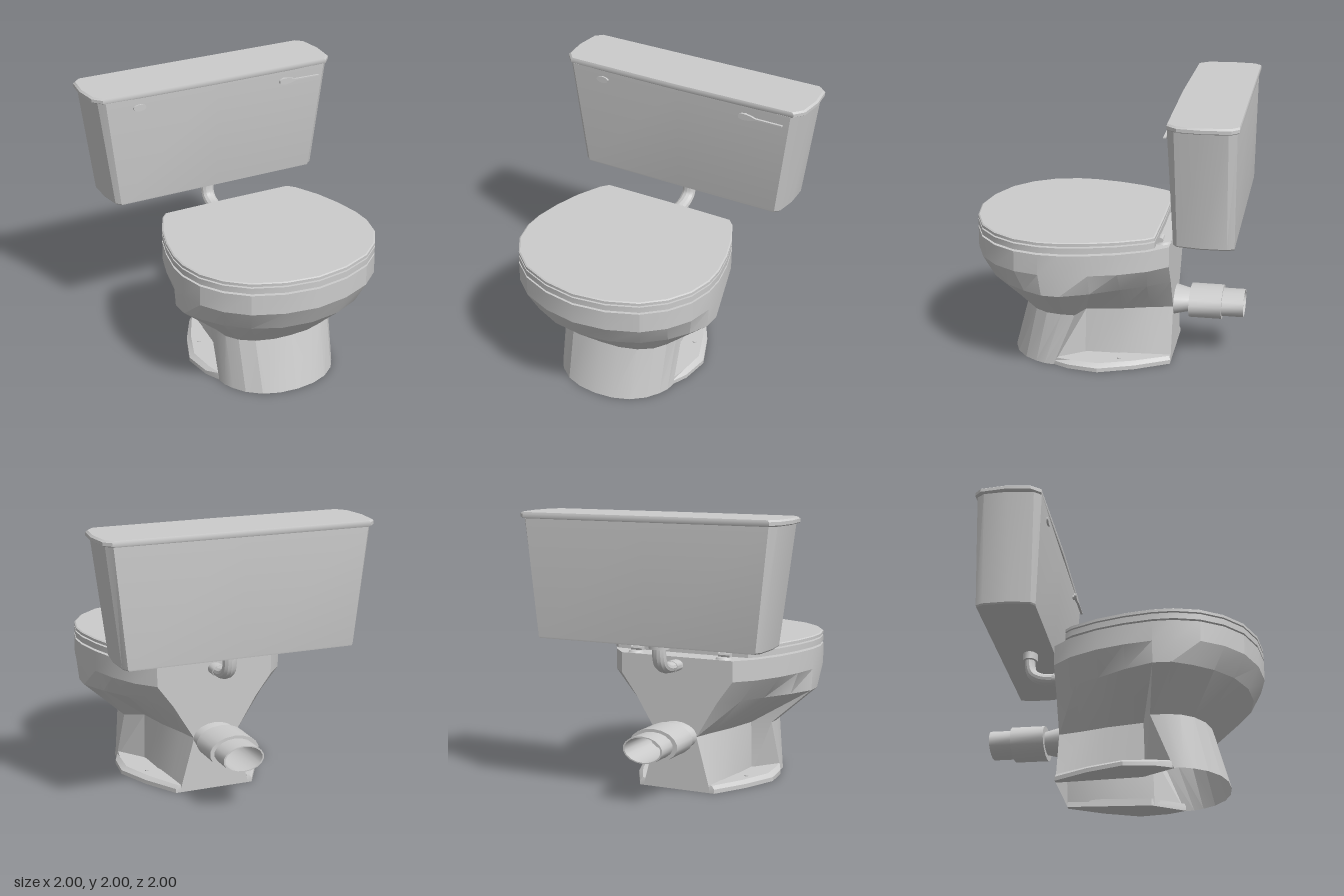
import * as THREE from 'three';
import { toCreasedNormals } from 'three/addons/utils/BufferGeometryUtils.js';

const material = new THREE.MeshStandardMaterial({ color: 0xcccccc, side: THREE.DoubleSide });

function add(parent, name, geometry, x = 0, y = 0, z = 0, crease = 0.45) {
  const mesh = new THREE.Mesh(toCreasedNormals(geometry, crease), material);
  mesh.name = name;
  mesh.position.set(x, y, z);
  parent.add(mesh);
  return mesh;
}

// Half outline [x, z] running front to back; the inner points are mirrored to -x
const mirror = (half) => [...half, ...half.slice(1, -1).reverse().map(([x, z]) => [-x, z])];

// Scale an outline about a centre on the z axis
const scaled = (loop, s, cz) => loop.map(([x, z]) => [x * s, cz + (z - cz) * s]);

// Skin through levels [y, outline], with optional end caps
function loft(levels, capStart = false, capEnd = false) {
  const n = levels[0][1].length, pos = [], idx = [];
  for (const [y, loop] of levels) for (const [x, z] of loop) pos.push(x, y, z);
  for (let l = 0; l < levels.length - 1; l++) {
    for (let i = 0; i < n; i++) {
      const a = l * n + i, b = l * n + (i + 1) % n;
      idx.push(a, b, b + n, a, b + n, a + n);
    }
  }
  const top = (levels.length - 1) * n;
  for (let i = 1; i < n - 1; i++) {
    if (capStart) idx.push(0, i + 1, i);
    if (capEnd) idx.push(top, top + i, top + i + 1);
  }
  const g = new THREE.BufferGeometry();
  g.setAttribute('position', new THREE.Float32BufferAttribute(pos, 3));
  g.setIndex(idx);
  return g;
}

const tube = (points, r) => new THREE.TubeGeometry(
  new THREE.CatmullRomCurve3(points.map((p) => new THREE.Vector3(...p))), 16, r, 12);

// Outlines of the bowl
const front = [[0, 0.995], [0.24, 0.96], [0.46, 0.87], [0.61, 0.74], [0.71, 0.58],
  [0.755, 0.4], [0.755, 0.25], [0.72, 0.05], [0.66, -0.15]];
const rim = mirror([...front, [0.56, -0.35], [0.44, -0.485], [0, -0.485]]);
const cover = mirror([...front, [0.57, -0.34], [0.52, -0.395], [0, -0.4]]);
const belly = mirror([[0, 0.91], [0.22, 0.88], [0.42, 0.79], [0.57, 0.66], [0.67, 0.52], [0.74, 0.38],
  [0.745, 0.25], [0.66, 0.05], [0.54, -0.15], [0.44, -0.33], [0.32, -0.485], [0, -0.485]]);
const neck = mirror([[0, 0.62], [0.14, 0.61], [0.27, 0.57], [0.37, 0.5], [0.43, 0.41], [0.45, 0.3],
  [0.45, 0.2], [0.31, 0.14], [0.26, -0.12], [0.2, -0.32], [0.16, -0.485], [0, -0.485]]);
const base = mirror([[0, 0.73], [0.14, 0.715], [0.26, 0.67], [0.36, 0.59], [0.42, 0.5], [0.45, 0.43],
  [0.46, 0.36], [0.31, 0.15], [0.3, -0.1], [0.28, -0.32], [0.27, -0.485], [0, -0.485]]);

function buildBowl(root) {
  // Hollow pedestal, outer bowl, rim and basin as one skin
  add(root, 'bowl', loft([
    [0, base], [0.4, neck], [0.66, belly], [0.82, rim], [0.97, rim],
    [0.97, scaled(rim, 0.7, 0.28)], [0.7, scaled(rim, 0.55, 0.28)], [0.45, scaled(rim, 0.3, 0.25)],
  ], false, true), 0, 0, 0, 0.3);
  add(root, 'trapway', tube([[0, 0.46, 0.25], [0, 0.25, 0.1], [0, 0.25, -0.1], [0, 0.4, -0.3], [0, 0.4, -0.48]], 0.1));

  // Floor flanges beside the pedestal, tapering to the back
  for (const s of [-1, 1]) {
    const low = [[0.45, 0.37], [0.51, 0.24], [0.54, 0.02], [0.44, -0.24], [0.3, -0.485], [0.26, -0.485], [0.3, 0.13]];
    const high = [[0.45, 0.36], [0.48, 0.23], [0.5, 0.02], [0.41, -0.23], [0.28, -0.48], [0.26, -0.48], [0.3, 0.13]];
    const side = (loop) => (s > 0 ? loop : loop.map(([x, z]) => [-x, z]).reverse());
    add(root, 'floorFlange', loft([[0, side(low)], [0.03, side(low)], [0.055, side(high)]], true, true));
    add(root, 'floorBolt', new THREE.CylinderGeometry(0.015, 0.015, 0.01, 8), s * 0.39, 0.057, -0.12);
  }
}

function buildSeat(root) {
  const outer = scaled(cover, 0.998, 0.3), hole = scaled(cover, 0.62, 0.3);
  add(root, 'seat', loft([[0.985, outer], [1.028, outer], [1.028, hole], [0.985, hole], [0.985, outer]]));
  add(root, 'lid', loft([[1.04, outer], [1.06, outer], [1.066, scaled(cover, 0.985, 0.3)]], true, true));
  for (const s of [-1, 1]) {
    // Rubber pads under the seat and the lid
    for (const y of [0.978, 1.034]) {
      add(root, 'pad', new THREE.BoxGeometry(0.12, 0.014, 0.09), s * 0.36, y, 0.67);
      add(root, 'pad', new THREE.BoxGeometry(0.12, 0.014, 0.09), s * 0.5, y, -0.12);
    }
    // Hinge with its round foot and pivot
    const hinge = new THREE.Group();
    hinge.name = 'hinge';
    hinge.position.set(s * 0.35, 0, -0.43);
    add(hinge, 'hingeFoot', new THREE.CylinderGeometry(0.05, 0.06, 0.015, 14), 0, 0.978, 0);
    add(hinge, 'hingePivot', new THREE.CylinderGeometry(0.022, 0.022, 0.09, 10), 0, 1.0, 0.015).rotation.z = Math.PI / 2;
    add(hinge, 'hingeArm', new THREE.BoxGeometry(0.045, 0.025, 0.08), 0, 1.0, 0.05);
    root.add(hinge);
  }
}

function buildTank(root) {
  const low = mirror([[0, -0.56], [0.8, -0.56], [0.835, -0.59], [0.86, -0.75], [0.855, -0.93], [0.83, -0.98], [0, -0.98]]);
  const high = mirror([[0, -0.52], [0.9, -0.52], [0.945, -0.57], [0.97, -0.76], [0.96, -0.93], [0.92, -0.985], [0, -0.985]]);
  const top = mirror([[0, -0.508], [0.92, -0.52], [0.98, -0.59], [1, -0.77], [0.98, -0.95], [0.93, -1], [0, -1]]);
  add(root, 'tank', loft([[1.12, scaled(low, 0.99, -0.77)], [1.13, low], [1.96, high]], true, true));
  add(root, 'tankLid', loft([[1.957, scaled(top, 0.985, -0.75)], [1.965, top], [1.988, top],
    [2, scaled(top, 0.985, -0.75)]], true, true));

  // Flush lever: teardrop boss running into a thin handle
  const drop = new THREE.Shape();
  drop.moveTo(0.505, 0);
  drop.bezierCurveTo(0.505, 0.035, 0.58, 0.028, 0.64, 0.006);
  drop.lineTo(0.85, 0.004);
  drop.lineTo(0.85, -0.004);
  drop.lineTo(0.64, -0.006);
  drop.bezierCurveTo(0.58, -0.028, 0.505, -0.035, 0.505, 0);
  add(root, 'flushLever', new THREE.ExtrudeGeometry(drop, { depth: 0.018, bevelEnabled: false, curveSegments: 8 }),
    0, 1.886, -0.508);
  add(root, 'leverPivot', new THREE.CylinderGeometry(0.02, 0.02, 0.04, 10), 0.55, 1.886, -0.515).rotation.x = Math.PI / 2;

  // Oval plate on the other side
  const plate = add(root, 'ovalPlate', new THREE.CylinderGeometry(0.05, 0.05, 0.02, 16), -0.64, 1.886, -0.52);
  plate.rotation.x = Math.PI / 2;
  plate.scale.z = 0.5;
}

function buildPipes(root) {
  // Flush pipe from the tank to the back of the bowl
  add(root, 'flushPipe', tube([[0, 1.12, -0.745], [0, 1.03, -0.745], [0, 0.96, -0.725], [0, 0.92, -0.66],
    [0, 0.91, -0.57], [0, 0.91, -0.48]], 0.04)).scale.x = 1.3;
  add(root, 'upperNut', new THREE.CylinderGeometry(0.057, 0.057, 0.06, 14), 0, 1.095, -0.745).scale.x = 1.35;
  const lowerNut = add(root, 'lowerNut', new THREE.CylinderGeometry(0.042, 0.042, 0.09, 14), 0, 0.91, -0.525);
  lowerNut.rotation.x = Math.PI / 2;
  lowerNut.scale.x = 1.35;

  // Waste outlet: tapered spigot, collar and open pipe, wider than tall
  const profile = [[0.105, 0.44], [0.102, 0.49], [0.078, 0.6], [0.117, 0.6], [0.117, 0.84], [0.096, 0.84],
    [0.096, 1], [0.088, 1], [0.088, 0.62]];
  const outlet = new THREE.LatheGeometry(profile.map(([r, d]) => new THREE.Vector2(r, d)), 18);
  outlet.rotateX(-Math.PI / 2);
  add(root, 'wasteOutlet', outlet, 0, 0.4, 0).scale.x = 1.6;
}

export function createModel() {
  const root = new THREE.Group();
  root.name = 'toilet';
  buildBowl(root);
  buildSeat(root);
  buildTank(root);
  buildPipes(root);
  return root;
}
